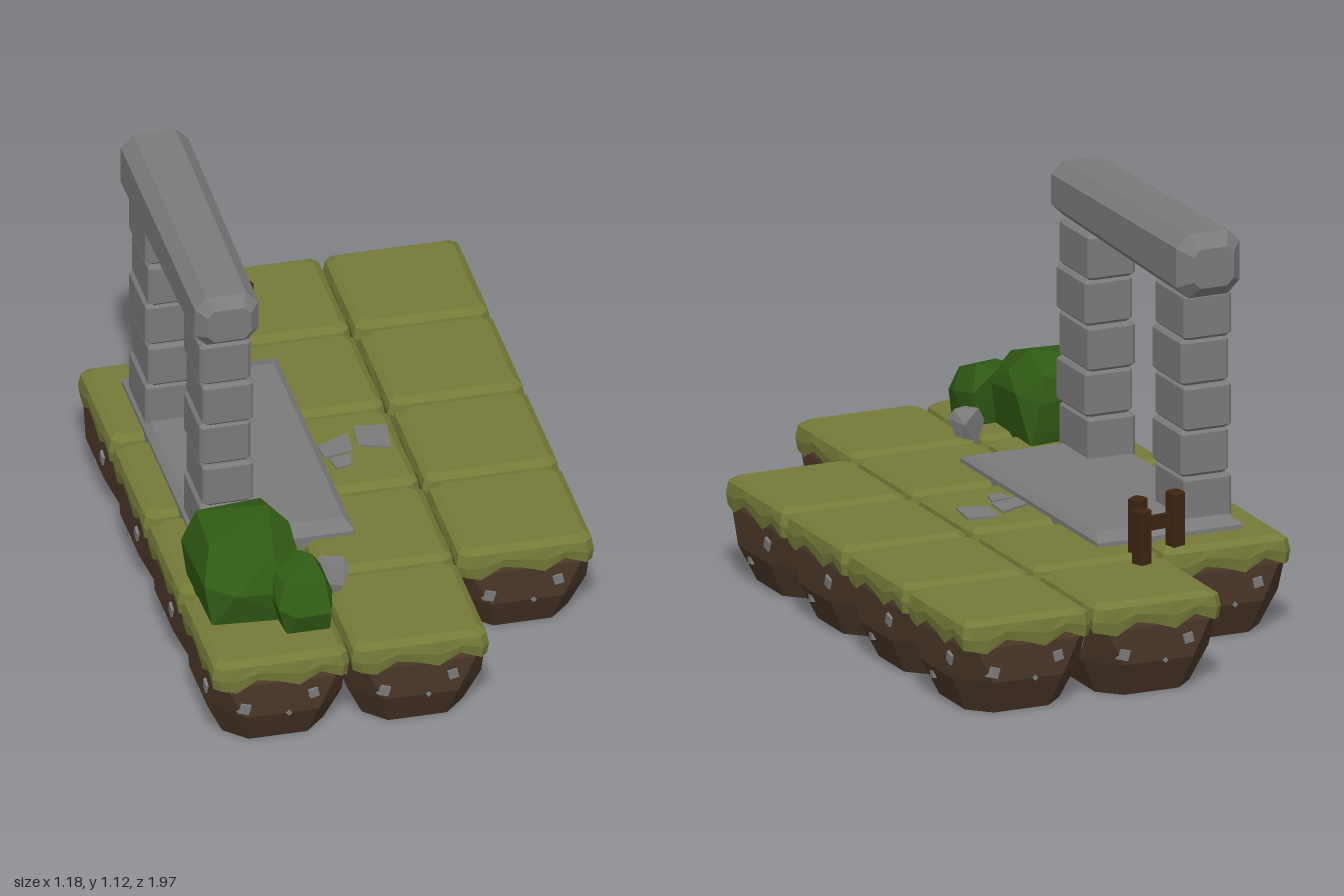
import * as THREE from 'three';
import { mergeGeometries } from 'three/addons/utils/BufferGeometryUtils.js';
import { ConvexGeometry } from 'three/addons/geometries/ConvexGeometry.js';

const mat = (color) => new THREE.MeshStandardMaterial({ color, flatShading: true, roughness: 1 });

// Rectangle outline with cut corners, counter-clockwise from above; ts = steps along each side.
function ring(hx, hz, c, y, ts = [-1, 1], wave = null) {
  const pts = [];
  [[1, 0], [0, -1], [-1, 0], [0, 1]].forEach(([nx, nz], k) => {
    const out = k % 2 ? hz : hx;
    const half = (k % 2 ? hx : hz) - c;
    ts.forEach((t, i) => pts.push([
      nx * out + nz * half * t,
      y + (wave ? wave[i] : 0),
      nz * out - nx * half * t,
    ]));
  });
  return pts;
}

// Closed solid skinned over rings that run from bottom to top.
function loft(rings) {
  const pos = [];
  const tri = (a, b, c) => pos.push(...a, ...b, ...c);
  const mid = (r) => [0, 1, 2].map((k) => r.reduce((s, p) => s + p[k], 0) / r.length);
  const n = rings[0].length;
  const first = rings[0], last = rings[rings.length - 1];
  const lo = mid(first), hi = mid(last);
  for (let i = 0; i < n; i++) {
    const j = (i + 1) % n;
    for (let r = 0; r < rings.length - 1; r++) {
      const a = rings[r], b = rings[r + 1];
      tri(a[i], a[j], b[j]);
      tri(a[i], b[j], b[i]);
    }
    tri(lo, first[j], first[i]);
    tri(hi, last[i], last[j]);
  }
  const g = new THREE.BufferGeometry();
  g.setAttribute('position', new THREE.Float32BufferAttribute(pos, 3));
  g.computeVertexNormals();
  return g;
}

// Block standing on y = 0 with bevelled edges.
const block = (hx, hz, h, b) => loft([
  ring(hx - b, hz - b, b, 0), ring(hx, hz, b, b),
  ring(hx, hz, b, h - b), ring(hx - b, hz - b, b, h),
]);

const hull = (pts) => new ConvexGeometry(pts.map((p) => new THREE.Vector3(...p)));

export function createModel() {
  const root = new THREE.Group();
  const stone = mat(0x7a7a7a), dirt = mat(0x4a3628), grass = mat(0x757a38);
  const leaf = mat(0x2f5a14), wood = mat(0x3c2411);
  const add = (parent, name, geo, material, x = 0, y = 0, z = 0) => {
    const m = new THREE.Mesh(geo, material);
    m.name = name;
    m.position.set(x, y, z);
    parent.add(m);
    return m;
  };

  // Earth block with a drooping turf cap
  const soilGeo = loft([
    ring(0.143, 0.143, 0.06, 0), ring(0.19, 0.19, 0.085, 0.1),
    ring(0.185, 0.188, 0.03, 0.2), ring(0.165, 0.165, 0.03, 0.245),
  ]);
  const ts = [-1, -0.75, -0.4, -0.05, 0.3, 0.65, 1];
  const droop = [0, -0.012, 0.022, 0.01, -0.01, 0.024, 0];
  const turfGeo = loft([
    ring(0.165, 0.165, 0.03, 0.235, ts),
    ring(0.19, 0.192, 0.02, 0.198, ts, droop),
    ring(0.194, 0.197, 0.02, 0.232, ts, droop.map((d) => d * 0.6)),
    ring(0.188, 0.192, 0.02, 0.266, ts),
    ring(0.168, 0.17, 0.02, 0.28, ts),
  ]);

  // Small stones set into the four sides of each block
  const bits = [];
  const sides = [
    [[-0.105, 0.13, 0.026], [0.09, 0.155, 0.024], [0.02, 0.1, 0.01]],
    [[0.085, 0.155, 0.025], [-0.05, 0.07, 0.018]],
  ];
  for (let k = 0; k < 4; k++) {
    sides[k % 2].forEach(([u, y, r], i) => {
      const g = new THREE.CylinderGeometry(r * 0.8, r, 0.02, 4);
      g.rotateX(Math.PI / 2);
      g.rotateZ(0.5 + i * 0.5);
      g.translate(u, y, y < 0.1 ? 0.172 : 0.184);
      g.rotateY(k * Math.PI / 2);
      bits.push(g);
    });
  }
  const bitsGeo = mergeGeometries(bits);

  // Thirteen tiles in three staggered columns
  const step = 0.395;
  [[-1, -1, 2], [0, -2, 2], [1, -2, 1]].forEach(([col, from, to]) => {
    for (let row = from; row <= to; row++) {
      const tile = new THREE.Group();
      tile.name = 'groundTile';
      tile.position.set(col * step, 0, row * step);
      add(tile, 'soil', soilGeo, dirt);
      add(tile, 'turf', turfGeo, grass);
      add(tile, 'embeddedStones', bitsGeo, stone);
      root.add(tile);
    }
  });

  // Stone gateway: floor slab, two stacked pillars, lintel
  const gate = new THREE.Group();
  gate.name = 'gateway';
  root.add(gate);
  add(gate, 'floorSlab', loft([
    ring(0.22, 0.45, 0.005, 0.25), ring(0.22, 0.45, 0.005, 0.292), ring(0.2, 0.4, 0.005, 0.31),
  ]), stone, -0.27, 0, -0.03);
  const pillarBlock = block(0.072, 0.1, 0.13, 0.009);
  [0.305, -0.32].forEach((z) => {
    for (let i = 0; i < 5; i++) {
      const shift = (i % 2 ? 1 : -1) * 0.003;
      add(gate, 'pillarBlock', pillarBlock, stone, -0.408 + shift, 0.295 + i * 0.131, z + shift);
    }
  });
  const lintel = add(gate, 'lintel', loft([
    ring(0.06, 0.056, 0.02, -0.455), ring(0.096, 0.092, 0.036, -0.415),
    ring(0.09, 0.077, 0.034, 0.41), ring(0.062, 0.05, 0.02, 0.445),
  ]), stone, -0.41, 1.033, -0.005);
  lintel.rotation.x = Math.PI / 2;

  // Flat paving pieces
  [
    [[-0.04, 0.03], [0.045, 0.015], [0.05, -0.075], [-0.045, -0.03]],
    [[0.065, -0.01], [0.15, 0.02], [0.165, -0.09], [0.075, -0.105]],
    [[-0.02, 0.09], [0.025, 0.08], [0.035, 0.03], [-0.03, 0.04]],
  ].forEach((p) => add(root, 'pavingPiece',
    loft([0.27, 0.286].map((y) => p.map(([x, z]) => [x, y, z]))), stone));

  // Fence: three posts joined by two rails
  const fence = new THREE.Group();
  fence.name = 'fence';
  root.add(fence);
  const posts = [[-0.255, -0.54], [-0.135, -0.555], [-0.098, -0.66]];
  posts.forEach(([x, z], i) => {
    const post = add(fence, 'fencePost', block(0.021, 0.021, 0.165, 0.004), wood, x, 0.27, z);
    post.rotation.y = [0.25, 0.6, 0.35][i];
  });
  for (let i = 0; i < 2; i++) {
    const [x0, z0] = posts[i], [x1, z1] = posts[i + 1];
    const length = Math.hypot(x1 - x0, z1 - z0);
    const rail = add(fence, 'fenceRail', new THREE.BoxGeometry(length, 0.04, 0.014), wood,
      (x0 + x1) / 2, 0.355, (z0 + z1) / 2);
    rail.rotation.y = -Math.atan2(z1 - z0, x1 - x0);
  }

  // Faceted bushes
  add(root, 'largeBush', hull([
    [-0.545, 0.27, 0.5], [-0.54, 0.27, 0.77], [-0.3, 0.27, 0.79], [-0.29, 0.27, 0.47],
    [-0.565, 0.4, 0.51], [-0.56, 0.4, 0.76], [-0.48, 0.38, 0.8], [-0.32, 0.37, 0.8],
    [-0.275, 0.4, 0.73], [-0.265, 0.42, 0.52], [-0.31, 0.4, 0.455], [-0.5, 0.42, 0.455],
    [-0.525, 0.495, 0.52], [-0.53, 0.485, 0.69], [-0.36, 0.47, 0.75],
    [-0.335, 0.522, 0.58], [-0.28, 0.465, 0.6], [-0.33, 0.475, 0.47],
  ]), leaf);
  add(root, 'smallBush', hull([
    [-0.36, 0.27, 0.72], [-0.35, 0.27, 0.86], [-0.23, 0.27, 0.86], [-0.22, 0.27, 0.71],
    [-0.385, 0.37, 0.72], [-0.375, 0.36, 0.86], [-0.33, 0.34, 0.885], [-0.23, 0.34, 0.88],
    [-0.208, 0.36, 0.8], [-0.215, 0.38, 0.69], [-0.37, 0.43, 0.75], [-0.35, 0.425, 0.83],
    [-0.25, 0.448, 0.74], [-0.235, 0.42, 0.82], [-0.29, 0.44, 0.69],
  ]), leaf);

  // Loose rock between the tiles
  add(root, 'rock', hull([
    [-0.2, 0.25, 0.63], [-0.15, 0.25, 0.63], [-0.175, 0.25, 0.68],
    [-0.222, 0.32, 0.63], [-0.205, 0.31, 0.685], [-0.15, 0.3, 0.695], [-0.122, 0.33, 0.65],
    [-0.15, 0.32, 0.605], [-0.2, 0.36, 0.62], [-0.18, 0.355, 0.67], [-0.135, 0.36, 0.64],
  ]), stone);

  return root;
}
